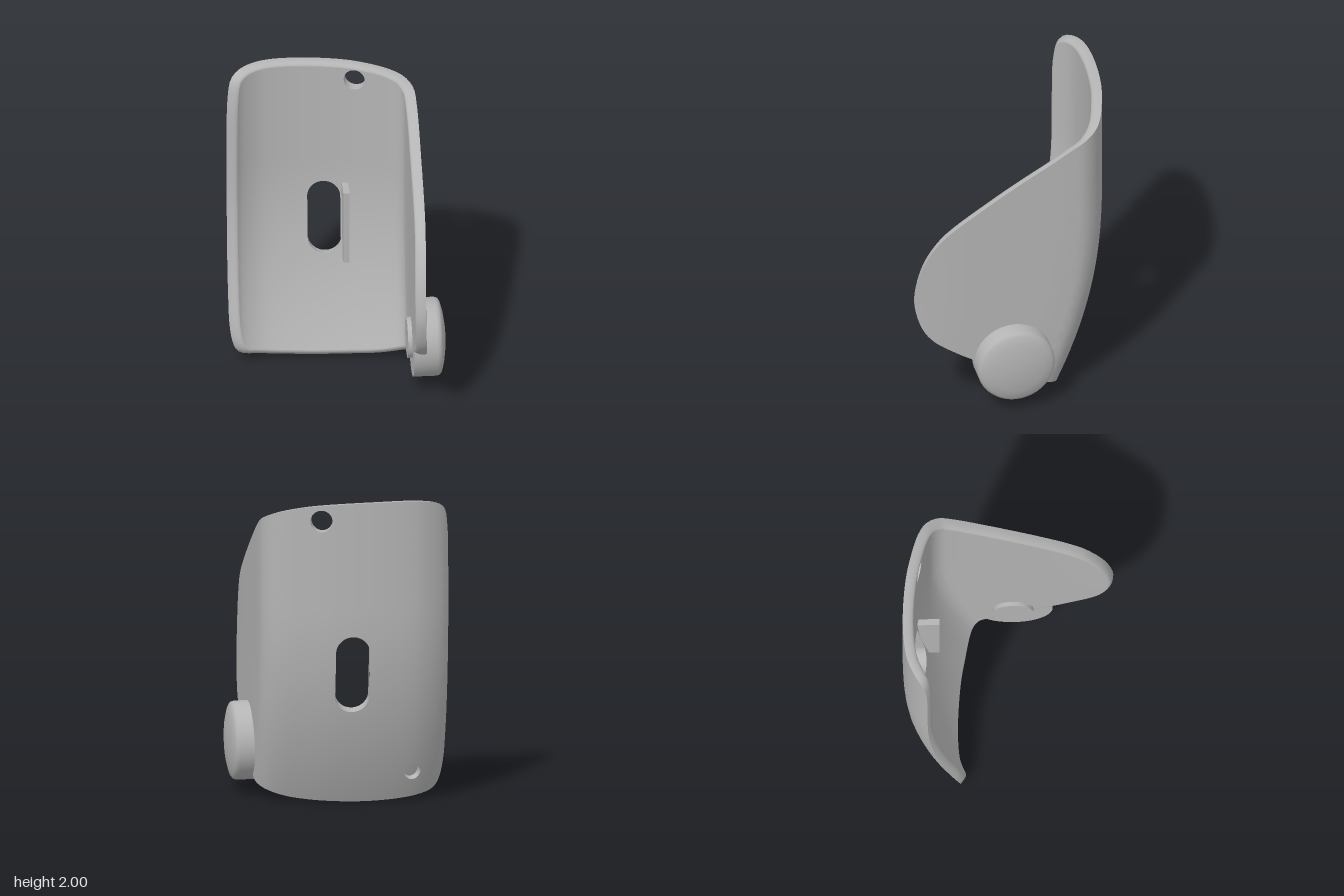
import * as THREE from 'three';
import { toCreasedNormals } from 'three/addons/utils/BufferGeometryUtils.js';

const THICK = 0.068, LIP = 0.015, RIM = 0.025, BLIND = 0.04;

// horizontal section of the outer skin: back panel bending into the side wing
const section = new THREE.CatmullRomCurve3([
  [-0.67, -0.52], [-0.62, -0.575], [-0.54, -0.625], [-0.45, -0.657], [-0.23, -0.675],
  [0.06, -0.653], [0.24, -0.614], [0.38, -0.57], [0.46, -0.523], [0.51, -0.45],
  [0.523, -0.34], [0.525, 0], [0.52, 0.4], [0.5, 0.67],
].map(([x, z]) => new THREE.Vector3(x, 0, z)), false, 'centripetal');
const sectionLength = section.getLength();

// flat outline of the plate: (distance along the section, height)
const outline = new THREE.CatmullRomCurve3([
  [0.004, 1], [0.004, 0.45], [0.012, 0.25], [0.045, 0.13], [0.1, 0.065], [0.225, 0.03],
  [0.46, 0.005], [0.72, 0.003], [1.03, 0.03], [1.2, 0.075], [1.373, 0.14], [1.864, 0.35],
  [2.007, 0.42], [2.19, 0.53], [2.285, 0.63], [2.365, 0.8], [2.37, 0.95], [2.333, 1.1],
  [2.239, 1.25], [2.139, 1.34], [1.939, 1.48], [1.739, 1.61], [1.539, 1.73], [1.339, 1.85],
  [1.2, 1.915], [1.07, 1.95], [0.88, 1.979], [0.5, 1.998], [0.27, 1.995], [0.12, 1.97],
  [0.045, 1.92], [0.014, 1.8], [0.004, 1.5],
].map(([s, y]) => new THREE.Vector3(s, y, 0)), true, 'centripetal');
const edge = outline.getSpacedPoints(200).slice(0, -1).map((p) => new THREE.Vector2(p.x, p.y));

// outline moved inwards by d
function inset(d) {
  const n = edge.length;
  return edge.map((p, i) => {
    const t = edge[(i + 1) % n].clone().sub(edge[(i + n - 1) % n]).normalize();
    return new THREE.Vector2(p.x - t.y * d, p.y + t.x * d);
  });
}

// clockwise round or slot-shaped hole
function hole(s, y, r, half = 0, n = 40) {
  return Array.from({ length: n }, (_, i) => {
    const a = -((i + 0.5) / n) * Math.PI * 2;
    return new THREE.Vector2(s + r * Math.cos(a), y + r * Math.sin(a) + Math.sign(Math.sin(a)) * half);
  });
}

// place a flat point on the bent plate, at a given depth under the outer skin
function bend(p, depth) {
  const u = THREE.MathUtils.clamp(p.x / sectionLength, 0, 1);
  const pos = section.getPointAt(u), t = section.getTangentAt(u);
  const q = Math.max(0, 1.3 - p.y) / 1.3;
  pos.y = p.y;
  pos.z += 0.3 * Math.pow(q, 2.1);
  const slope = -0.3 * 2.1 / 1.3 * Math.pow(q, 1.1);
  const normal = new THREE.Vector3(t.z, t.x * slope, -t.x).normalize();
  return { pos: pos.addScaledVector(normal, -depth), normal };
}

// one skin of the plate, split finely enough to bend smoothly
function skin(contour, holes, depth, outward) {
  const all = [contour, ...holes].flat(), position = [], normals = [];
  const emit = (tri) => {
    for (const p of tri) {
      const { pos, normal } = bend(p, depth);
      position.push(pos.x, pos.y, pos.z);
      if (!outward) normal.negate();
      normals.push(normal.x, normal.y, normal.z);
    }
  };
  const split = (a, b, c) => {
    const l = [a.distanceTo(b), b.distanceTo(c), c.distanceTo(a)];
    const m = Math.max(...l);
    if (m < 0.08) return emit([a, b, c]);
    if (m === l[1]) [a, b, c] = [b, c, a];
    else if (m === l[2]) [a, b, c] = [c, a, b];
    const mid = a.clone().add(b).multiplyScalar(0.5);
    split(a, mid, c);
    split(mid, b, c);
  };
  for (const f of THREE.ShapeUtils.triangulateShape(contour, holes)) {
    const [a, b, c] = f.map((i) => all[i]);
    const ccw = THREE.ShapeUtils.area([a, b, c]) > 0;
    if (ccw === outward) split(a, c, b);
    else split(a, b, c);
  }
  const g = new THREE.BufferGeometry();
  g.setAttribute('position', new THREE.Float32BufferAttribute(position, 3));
  g.setAttribute('normal', new THREE.Float32BufferAttribute(normals, 3));
  return g;
}

// closed band through loops of [points, depth], from outer to inner skin
function band(rows) {
  const n = rows[0][0].length, position = [], index = [];
  for (const [pts, depth] of rows) for (const p of pts) position.push(...bend(p, depth).pos.toArray());
  for (let j = 0; j < rows.length - 1; j++) {
    for (let i = 0; i < n; i++) {
      const a = j * n + i, b = j * n + (i + 1) % n;
      index.push(a, b, a + n, b, b + n, a + n);
    }
  }
  const g = new THREE.BufferGeometry();
  g.setAttribute('position', new THREE.Float32BufferAttribute(position, 3));
  g.setIndex(index);
  g.computeVertexNormals();
  return g;
}

export function createModel() {
  const group = new THREE.Group();
  const grey = new THREE.MeshStandardMaterial({ color: 0xb4b4b4 });
  grey.name = 'plain grey';
  const add = (name, geometry) => {
    const mesh = new THREE.Mesh(geometry, grey);
    mesh.name = name;
    group.add(mesh);
  };

  // bent plate with a slot, a round hole and a blind hole at the back
  const slot = hole(0.676, 0.88, 0.108, 0.142);
  const topHole = hole(0.878, 1.88, 0.07);
  const blindHole = hole(0.264, 0.2, 0.055);
  add('plateOuterSkin', skin(edge, [slot, topHole, blindHole], 0, true));
  add('plateInnerSkin', skin(inset(RIM), [slot, topHole], THICK, false));

  // rim: thin lip, then a rounded edge up to full thickness
  const rim = [[edge, 0], [edge, LIP]];
  for (let k = 1; k <= 6; k++) {
    const a = (k / 6) * Math.PI / 2;
    rim.push([inset(RIM * (1 - Math.cos(a))), LIP + (THICK - LIP) * Math.sin(a)]);
  }
  add('plateRim', band(rim));
  add('slotWall', band([[slot, 0], [slot, THICK]]));
  add('topHoleWall', band([[topHole, 0], [topHole, THICK]]));
  add('blindHoleWall', band([[blindHole, 0], [blindHole, BLIND]]));
  add('blindHoleFloor', skin([...blindHole].reverse(), [], BLIND, true));

  // upright fin beside the slot
  const finShape = new THREE.Shape([[-0.44, 0.62], [-0.44, 1.125], [-0.61, 1.125], [-0.54, 0.62]]
    .map(([z, y]) => new THREE.Vector2(z, y)));
  const fin = new THREE.ExtrudeGeometry(finShape, { depth: 0.04, bevelEnabled: false });
  add('fin', fin.rotateY(-Math.PI / 2).translate(0.106, 0, 0));

  // domed knob on the wing, with a small boss inside
  const profile = [[0, 0.46], [0.25, 0.46], [0.25, 0.61], [0.243, 0.63], [0.225, 0.642],
    [0.17, 0.657], [0.09, 0.669], [0, 0.673]].map(([r, h]) => new THREE.Vector2(r, h));
  const knob = toCreasedNormals(new THREE.LatheGeometry(profile, 64), 0.75);
  add('knob', knob.rotateZ(-Math.PI / 2).translate(0, 0.332, 0.03));
  const boss = new THREE.CylinderGeometry(0.13, 0.13, 0.06, 48);
  add('knobBoss', boss.rotateZ(-Math.PI / 2).translate(0.46, 0.332, 0.03));

  return group;
}
